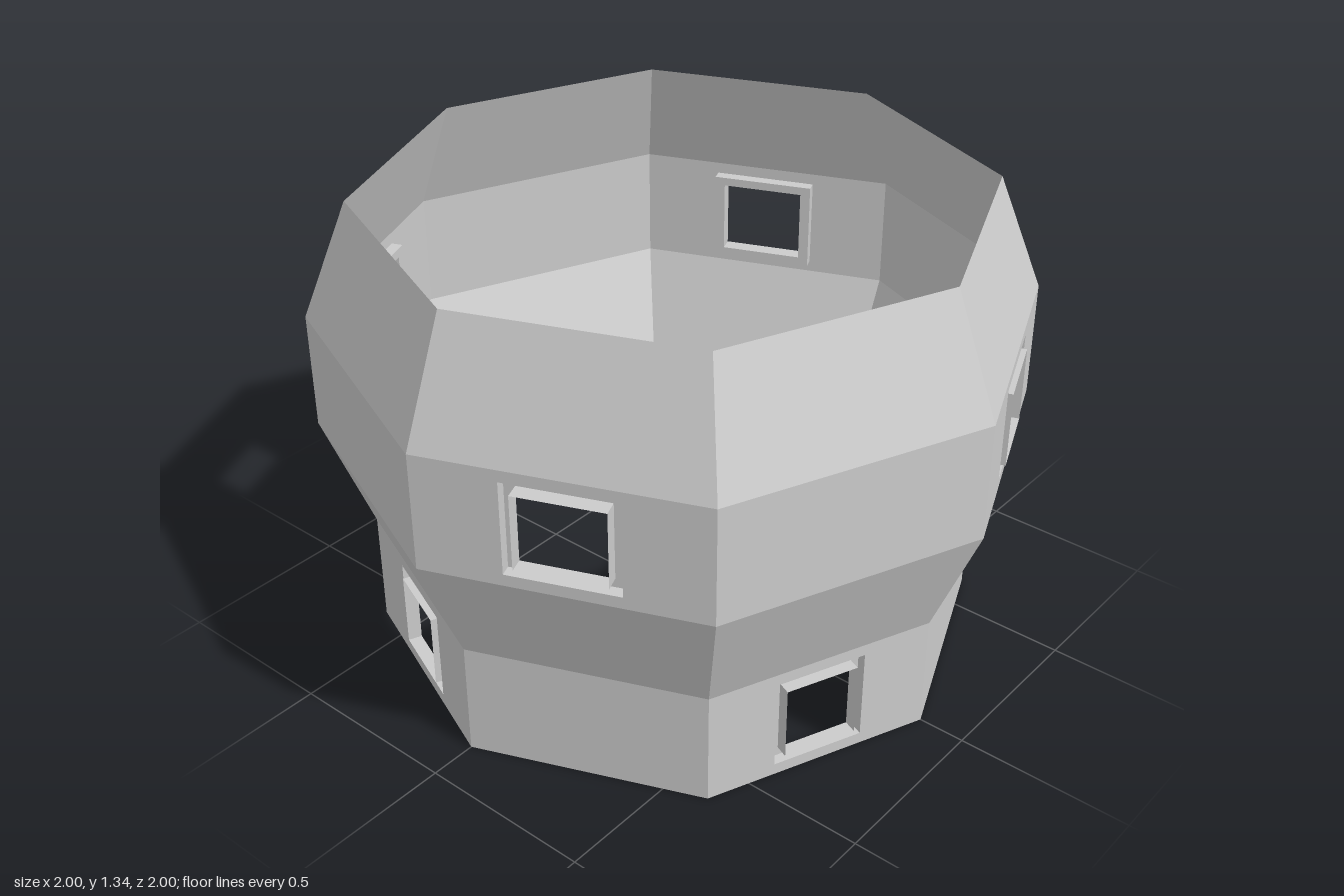
import * as THREE from 'three';

const SIDES = 8;
const STEP = (Math.PI * 2) / SIDES;
const H = 0.334; // height of each band
const R_SMALL = 0.867;
const R_LARGE = 1;

const material = new THREE.MeshStandardMaterial({
  color: 0xcccccc, flatShading: true, side: THREE.DoubleSide,
});

function mesh(name, geometry) {
  const m = new THREE.Mesh(geometry, material);
  m.name = name;
  return m;
}

// Skin between successive centred rectangles, each [width, height, z]
function loftRects(rects) {
  const corners = rects.map(([w, h, z]) =>
    [[-1, -1], [1, -1], [1, 1], [-1, 1]].map(([sx, sy]) => [sx * w / 2, sy * h / 2, z]));
  const pos = [];
  for (let r = 0; r < corners.length - 1; r++) {
    for (let i = 0; i < 4; i++) {
      const j = (i + 1) % 4;
      const a = corners[r], b = corners[r + 1];
      pos.push(...a[i], ...a[j], ...b[j], ...a[i], ...b[j], ...b[i]);
    }
  }
  const g = new THREE.BufferGeometry();
  g.setAttribute('position', new THREE.Float32BufferAttribute(pos, 3));
  g.computeVertexNormals();
  return g;
}

// Sloping ring of eight panels
function slopedBand(name, rBottom, rTop, y) {
  const m = mesh(name, new THREE.CylinderGeometry(rTop, rBottom, H, SIDES, 1, true));
  m.position.y = y + H / 2;
  return m;
}

// Upright ring where every second panel holds a window
function windowBand(name, radius, y, firstWindow) {
  const band = new THREE.Group();
  band.name = name;
  const edge = 2 * radius * Math.sin(STEP / 2);
  const apothem = radius * Math.cos(STEP / 2);
  const w = edge * 0.4, h = H * 0.8;
  const wIn = w * 0.8, hIn = h * 0.81;
  const recess = -0.034 * radius, lip = 0.011 * radius;

  for (let i = 0; i < SIDES; i++) {
    const panel = new THREE.Group();
    const angle = (i + 0.5) * STEP;
    panel.rotation.y = angle;
    panel.position.set(Math.sin(angle) * apothem, y + H / 2, Math.cos(angle) * apothem);
    if (i % 2 === firstWindow) {
      panel.name = 'windowPanel';
      panel.add(mesh('wallAroundWindow', loftRects([[edge, H, 0], [w, h, 0]])));
      // Groove stepping inward, then a thin lip coming back out past the wall
      panel.add(mesh('windowFrame', loftRects([
        [w, h, 0], [w, h, recess], [wIn, hIn, recess], [wIn, hIn, lip],
      ])));
    } else {
      panel.name = 'plainPanel';
      panel.add(mesh('wall', new THREE.PlaneGeometry(edge, H)));
    }
    band.add(panel);
  }
  return band;
}

export function createModel() {
  const model = new THREE.Group();
  model.name = 'octagonalTowerSection';
  model.add(
    windowBand('lowerWall', R_SMALL, 0, 1),
    slopedBand('flaringWall', R_SMALL, R_LARGE, H),
    windowBand('upperWall', R_LARGE, 2 * H, 0),
    slopedBand('taperingWall', R_LARGE, R_SMALL, 3 * H),
  );
  return model;
}
